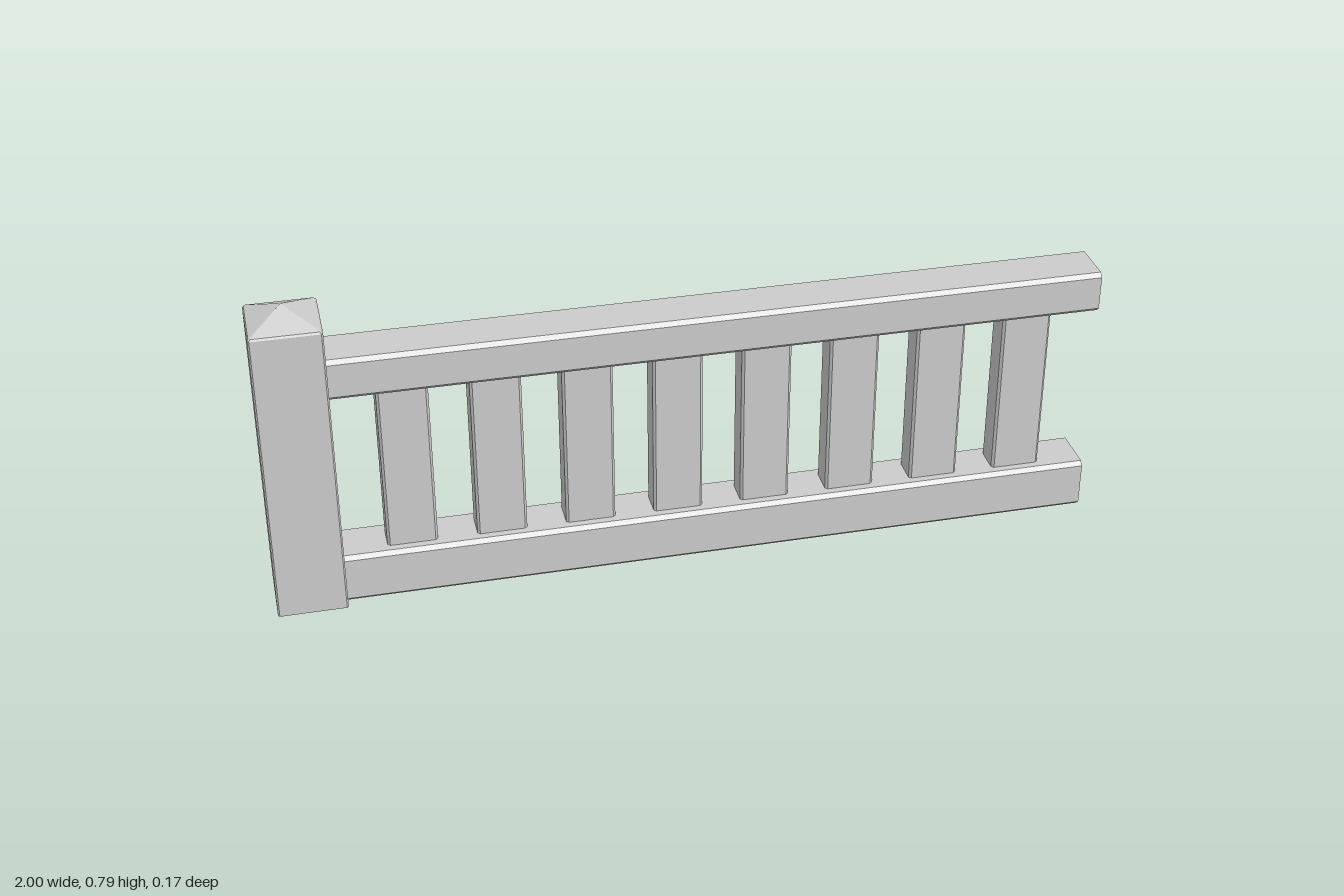
import * as THREE from 'three';
import { ConvexGeometry } from 'three/addons/geometries/ConvexGeometry.js';

const material = new THREE.MeshStandardMaterial({ color: 0xcccccc, flatShading: true });

// Corners of a rectangle (half sizes a, b) with its corners cut by c
function chamferedRect(a, b, c) {
  return [
    [a, -b + c], [a, b - c], [a - c, b], [-a + c, b],
    [-a, b - c], [-a, -b + c], [-a + c, -b], [a - c, -b],
  ].map(([x, y]) => new THREE.Vector2(x, y));
}

// Straight timber with chamfered long edges, running along +z from 0
function timber(width, height, chamfer, length) {
  const shape = new THREE.Shape(chamferedRect(width / 2, height / 2, chamfer));
  return new THREE.ExtrudeGeometry(shape, { depth: length, bevelEnabled: false });
}

function add(group, name, geometry, x = 0, y = 0, z = 0) {
  const mesh = new THREE.Mesh(geometry, material);
  mesh.name = name;
  mesh.position.set(x, y, z);
  group.add(mesh);
}

export function createModel() {
  const group = new THREE.Group();
  group.name = 'fenceSection';

  // End post with a low pyramid top
  const ring = (half, y) =>
    chamferedRect(half, half, 0.004).map((p) => new THREE.Vector3(p.x, y, p.y));
  add(group, 'post', new ConvexGeometry([
    ...ring(0.083, 0), ...ring(0.083, 0.745), ...ring(0.08, 0.75),
    new THREE.Vector3(0, 0.788, 0),
  ]), -0.917);

  // Horizontal rails, from the post's face to the open end
  const railStart = -0.84;
  const rails = [['bottomRail', 0.002, 0.129], ['topRail', 0.559, 0.662]];
  for (const [name, low, high] of rails) {
    const rail = timber(0.128, high - low, 0.01, 1 - railStart).rotateY(Math.PI / 2);
    add(group, name, rail, railStart, (low + high) / 2);
  }

  // Evenly spaced upright slats between the rails
  const slat = timber(0.12, 0.072, 0.006, 0.44).rotateX(-Math.PI / 2);
  const slats = new THREE.Group();
  slats.name = 'slats';
  group.add(slats);
  for (let i = 0; i < 8; i++) {
    add(slats, `slat${i + 1}`, slat, -0.668 + i * 0.2143, 0.124);
  }

  return group;
}
